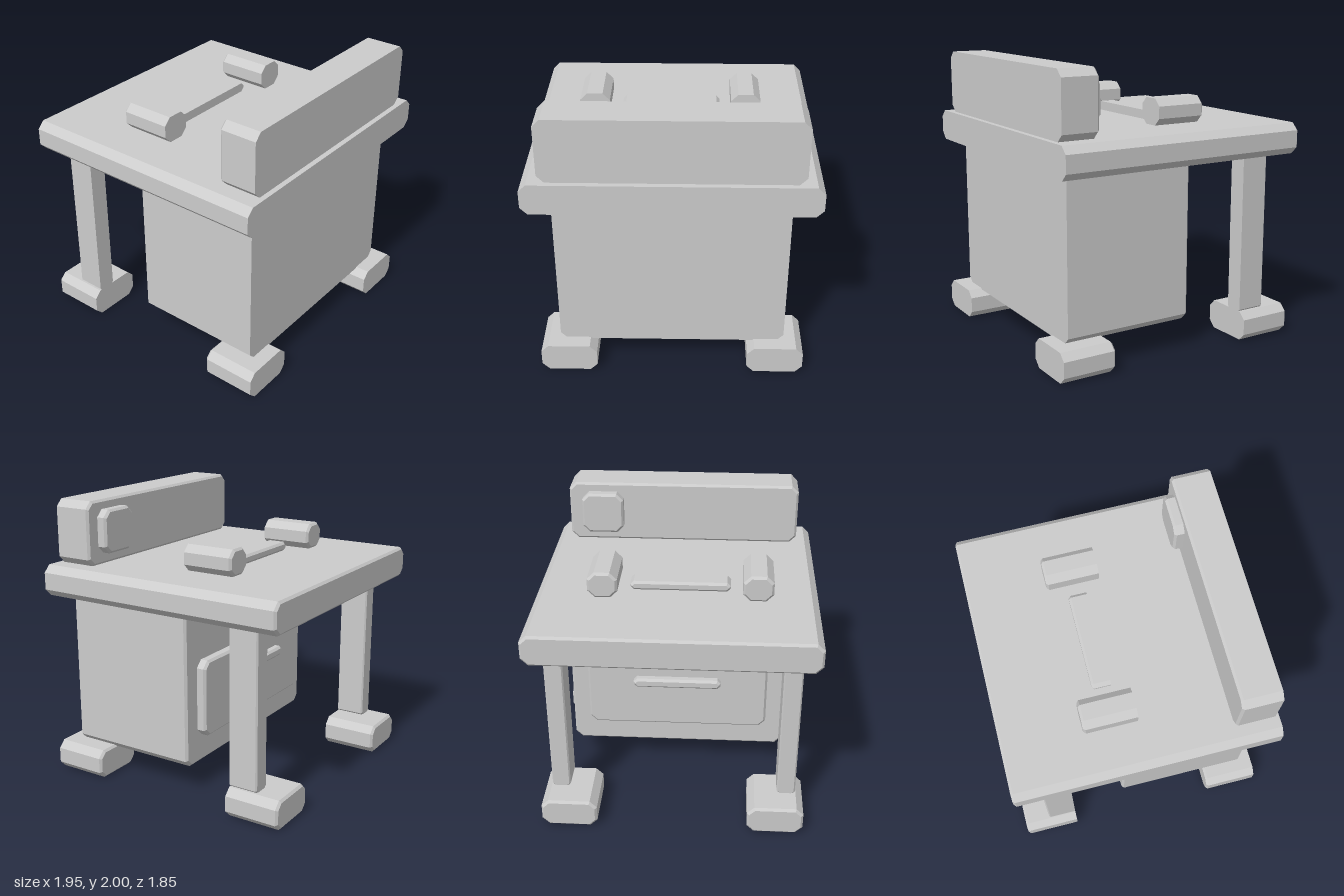
import * as THREE from 'three';

// Corners of a chamfered rectangle at depth z, anticlockwise seen from the front
function octagon(x0, x1, y0, y1, c, z) {
  return [
    [x0 + c, y0, z], [x1 - c, y0, z], [x1, y0 + c, z], [x1, y1 - c, z],
    [x1 - c, y1, z], [x0 + c, y1, z], [x0, y1 - c, z], [x0, y0 + c, z],
  ];
}

// Chamfered bar running along z: sharp front end, small bevel around the back end
function blockGeometry([x0, x1], [y0, y1], [z0, z1], c, b) {
  const rings = [
    octagon(x0, x1, y0, y1, c, z1),
    octagon(x0, x1, y0, y1, c, z0 + b),
    octagon(x0 + b, x1 - b, y0 + b, y1 - b, c - 0.586 * b, z0),
  ];
  const pos = [];
  const tri = (p, q, r) => pos.push(...p, ...q, ...r);
  for (let k = 0; k < 2; k++) {
    for (let i = 0; i < 8; i++) {
      const j = (i + 1) % 8;
      const f = rings[k], r = rings[k + 1];
      tri(f[i], r[i], r[j]);
      tri(f[i], r[j], f[j]);
    }
  }
  // End caps
  for (let i = 1; i < 7; i++) {
    tri(rings[0][0], rings[0][i], rings[0][i + 1]);
    tri(rings[2][0], rings[2][i + 1], rings[2][i]);
  }
  const g = new THREE.BufferGeometry();
  g.setAttribute('position', new THREE.Float32BufferAttribute(pos, 3));
  g.computeVertexNormals();
  return g;
}

export function createModel() {
  const model = new THREE.Group();
  model.name = 'desk';
  const material = new THREE.MeshStandardMaterial({ color: 0xcccccc, flatShading: true });

  const block = (name, x, y, z, c = 0.05, b = 0.016) => {
    const mesh = new THREE.Mesh(blockGeometry(x, y, z, c, b), material);
    mesh.name = name;
    model.add(mesh);
  };

  // Worktop and upright board along the front edge
  block('worktop', [-0.977, 0.977], [1.33, 1.55], [-0.925, 0.925]);
  block('frontBoard', [-0.86, 0.86], [1.55, 2], [0.615, 0.888]);
  block('boardPlate', [0.45, 0.76], [1.63, 1.935], [0.545, 0.615]);

  // Two blocks on the worktop with a low bar between them
  block('rightRest', [-0.665, -0.455], [1.55, 1.735], [-0.37, 0]);
  block('leftRest', [0.4, 0.607], [1.55, 1.735], [-0.37, 0]);
  block('centreBar', [-0.373, 0.325], [1.55, 1.615], [-0.24, -0.11], 0.025);

  // Cabinet with drawer front and handle on its back
  block('cabinet', [-0.793, 0.79], [0.2, 1.4], [-0.13, 0.82]);
  block('drawerFront', [-0.66, 0.66], [0.4, 0.952], [-0.197, -0.13]);
  block('drawerHandle', [-0.32, 0.32], [0.75, 0.82], [-0.25, -0.197], 0.025);

  // Legs at the back, feet at all four corners
  for (const [side, s] of [['left', 1], ['right', -1]]) {
    const span = (a, b) => (s > 0 ? [a, b] : [-b, -a]);
    block(side + 'Leg', span(0.74, 0.87), [0.2, 1.36], [-0.737, -0.53], 0.022, 0.01);
    block(side + 'FrontFoot', span(0.53, 0.925), [0, 0.21], [0.535, 0.925]);
    block(side + 'BackFoot', span(0.53, 0.925), [0, 0.21], [-0.925, -0.53]);
  }
  return model;
}
